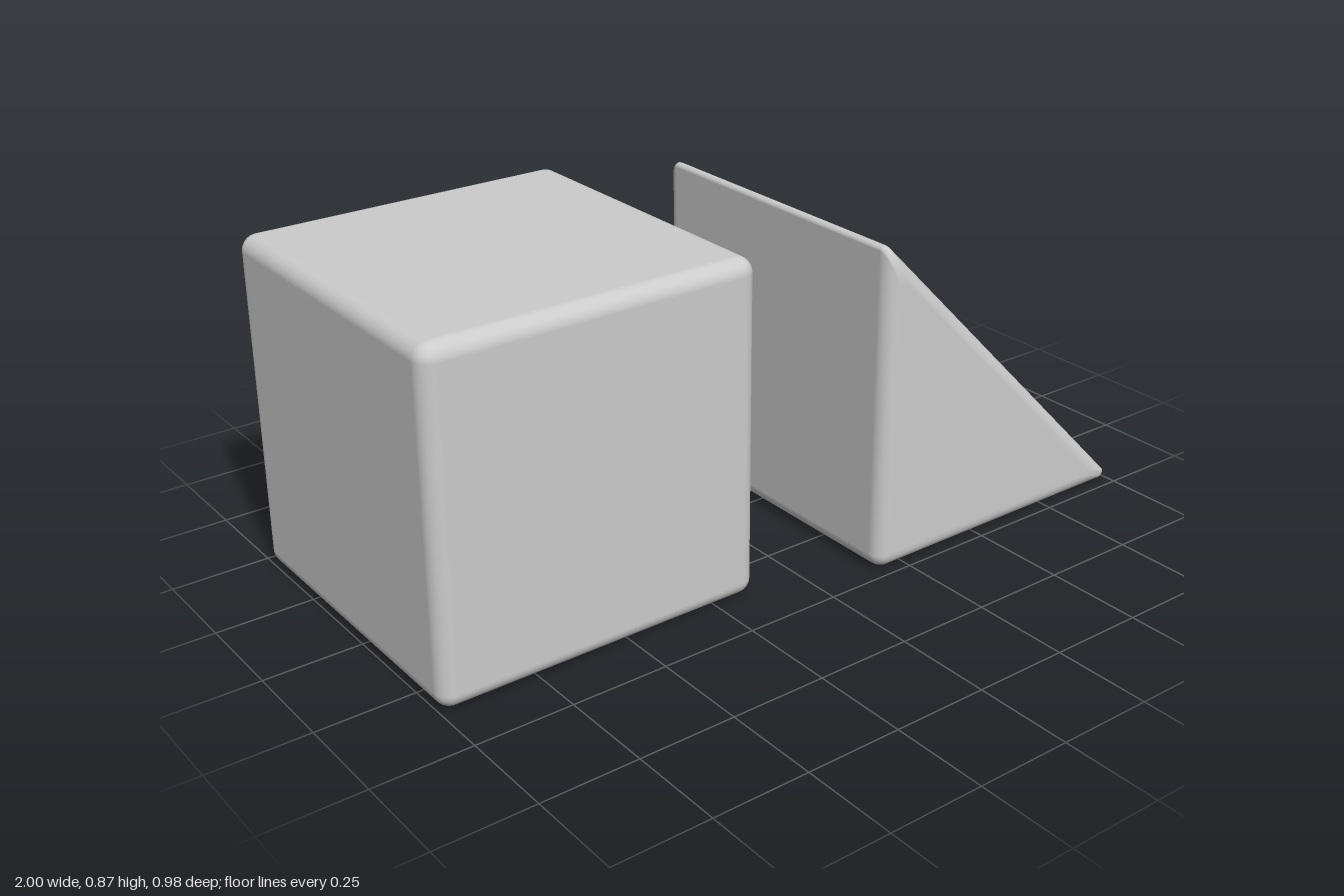
import * as THREE from 'three';
import { RoundedBoxGeometry } from 'three/addons/geometries/RoundedBoxGeometry.js';

const material = new THREE.MeshStandardMaterial({ color: 0xcccccc });
const BEVEL = 0.04;

// Right-angled triangle with rounded corners, shrunk inwards by `inset`
function triangleRing(x0, y0, sum, inset) {
  const D = Math.PI / 180, tip = 0.012, heel = Math.max(BEVEL - inset, 0.003);
  const centre = (r, corner) => {
    const d = inset + r, x = x0 + d, y = y0 + d, c = sum - d * Math.SQRT2;
    return corner === 'heel' ? [x, y] : corner === 'toe' ? [c - y, y] : [x, c - x];
  };
  const points = [];
  for (const [corner, r, from, to] of [['heel', heel, 180, 270], ['toe', tip, -90, 45], ['apex', tip, 45, 180]]) {
    const [cx, cy] = centre(r, corner);
    for (let i = 0; i <= 8; i++) {
      const a = (from + (to - from) * i / 8) * D;
      points.push([cx + r * Math.cos(a), cy + r * Math.sin(a)]);
    }
  }
  return points;
}

// Wedge lofted through triangle rings from back to front
function wedgeGeometry(x0, y0, sum, zBack, zFront) {
  const steps = 8, rings = [];
  for (const front of [false, true]) {
    for (let i = 0; i <= steps; i++) {
      const a = (front ? steps - i : i) / steps * Math.PI / 2;
      const lift = BEVEL * (1 - Math.sin(a));
      const z = front ? zFront - BEVEL + BEVEL * Math.cos(a) : zBack + BEVEL - BEVEL * Math.cos(a);
      rings.push(triangleRing(x0, y0, sum, lift).map(([x, y]) => [x, y, z]));
    }
  }
  const n = rings[0].length, last = rings.length - 1;
  const positions = rings.flat(2), index = [];
  for (let k = 0; k < last; k++) {
    for (let i = 0; i < n; i++) {
      const a = k * n + i, b = k * n + (i + 1) % n;
      index.push(a, b, b + n, a, b + n, a + n);
    }
  }
  // Flat end caps
  for (let i = 1; i < n - 1; i++) {
    index.push(0, i + 1, i, last * n, last * n + i, last * n + i + 1);
  }
  const geometry = new THREE.BufferGeometry();
  geometry.setAttribute('position', new THREE.Float32BufferAttribute(positions, 3));
  geometry.setIndex(index);
  geometry.computeVertexNormals();
  return geometry;
}

export function createModel() {
  const group = new THREE.Group();
  group.name = 'toyBlocks';

  // Cube block
  const cube = new THREE.Mesh(new RoundedBoxGeometry(0.865, 0.865, 0.86, 6, BEVEL), material);
  cube.name = 'cubeBlock';
  cube.position.set(-0.5675, 0.435, -0.06);
  group.add(cube);

  // Wedge block
  const wedge = new THREE.Mesh(wedgeGeometry(0.155, 0.006, 1.023, -0.375, 0.488), material);
  wedge.name = 'wedgeBlock';
  group.add(wedge);

  return group;
}
